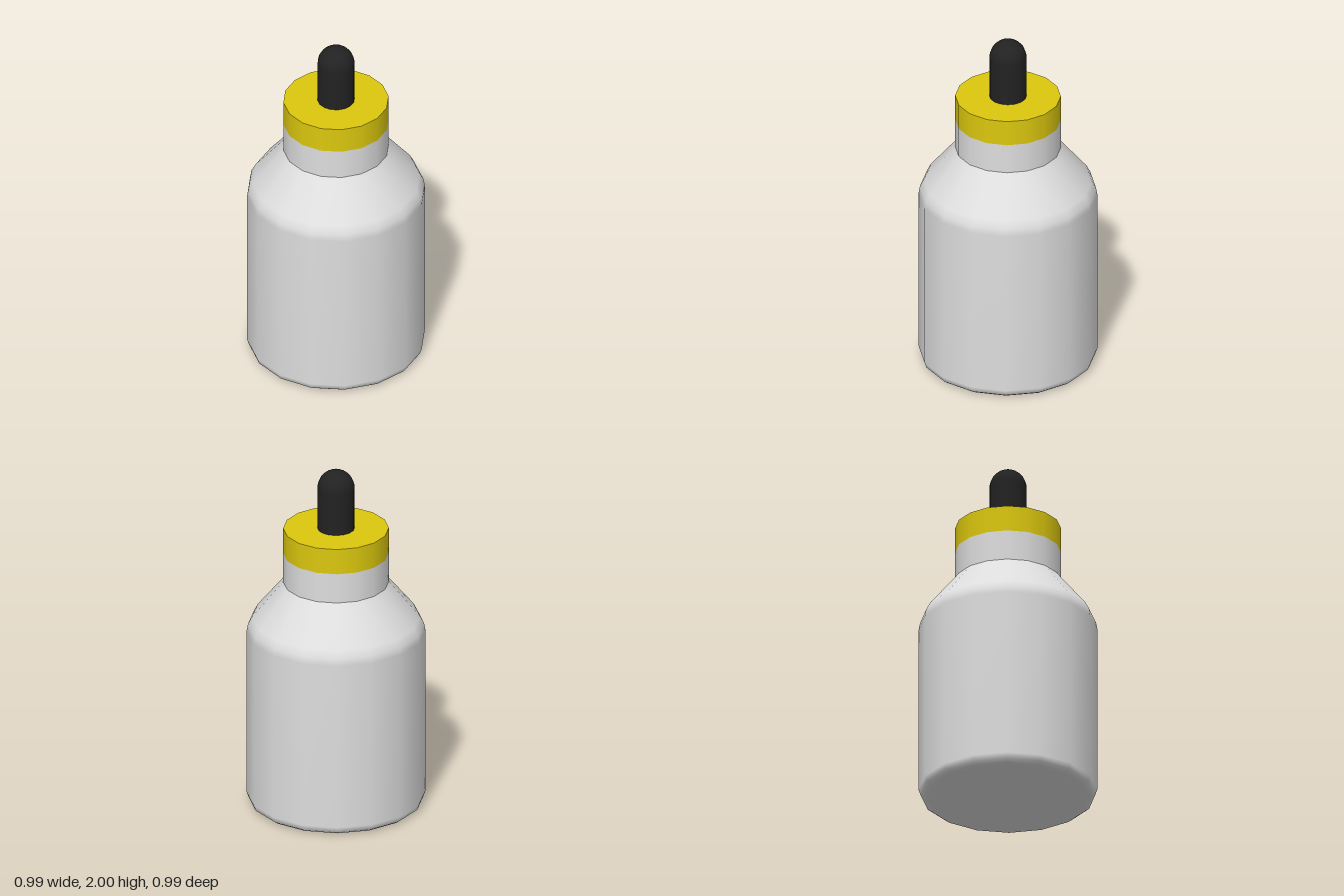
import * as THREE from 'three';

const SIDES = 16;

export function createModel() {
  const group = new THREE.Group();
  const material = (name, color) => {
    const m = new THREE.MeshStandardMaterial({ color });
    m.name = name;
    return m;
  };
  const white = material('bottleWhite', 0xdedede);
  const yellow = material('capYellow', 0xdcc80e);
  const black = material('rubberBlack', 0x222222);

  const add = (name, geometry, mat) => {
    const mesh = new THREE.Mesh(geometry, mat);
    mesh.name = name;
    group.add(mesh);
    return mesh;
  };
  // Profiles run from bottom to top as [radius, height]
  const lathe = (name, profile, mat) =>
    add(name, new THREE.LatheGeometry(profile.map(([r, y]) => new THREE.Vector2(r, y)), SIDES), mat);
  // Flat disc facing up or down, with corners on the axes
  const disc = (name, radius, y, up, mat) => {
    const mesh = add(name, new THREE.CircleGeometry(radius, SIDES), mat);
    mesh.rotation.x = up ? -Math.PI / 2 : Math.PI / 2;
    mesh.position.y = y;
  };

  // Bottle with a rounded foot and a sloping shoulder
  disc('bottleBase', 0.445, 0, false, white);
  lathe('bottleBody', [
    [0.445, 0], [0.465, 0.004], [0.484, 0.018], [0.495, 0.05],
    [0.495, 1.03], [0.488, 1.07], [0.465, 1.113], [0.293, 1.325],
  ], white);

  // Straight neck and the cap ring above it
  lathe('neck', [[0.293, 1.325], [0.293, 1.5]], white);
  lathe('capRing', [[0.293, 1.5], [0.293, 1.65]], yellow);
  disc('capTop', 0.293, 1.65, true, yellow);

  // Round-ended dropper bulb
  const r = 0.103;
  const bulb = [[r, 1.65]];
  for (let i = 0; i <= 8; i++) {
    const a = (i / 8) * Math.PI / 2;
    bulb.push([i === 8 ? 0 : r * Math.cos(a), 2 - r + r * Math.sin(a)]);
  }
  lathe('dropperBulb', bulb, black);

  return group;
}
